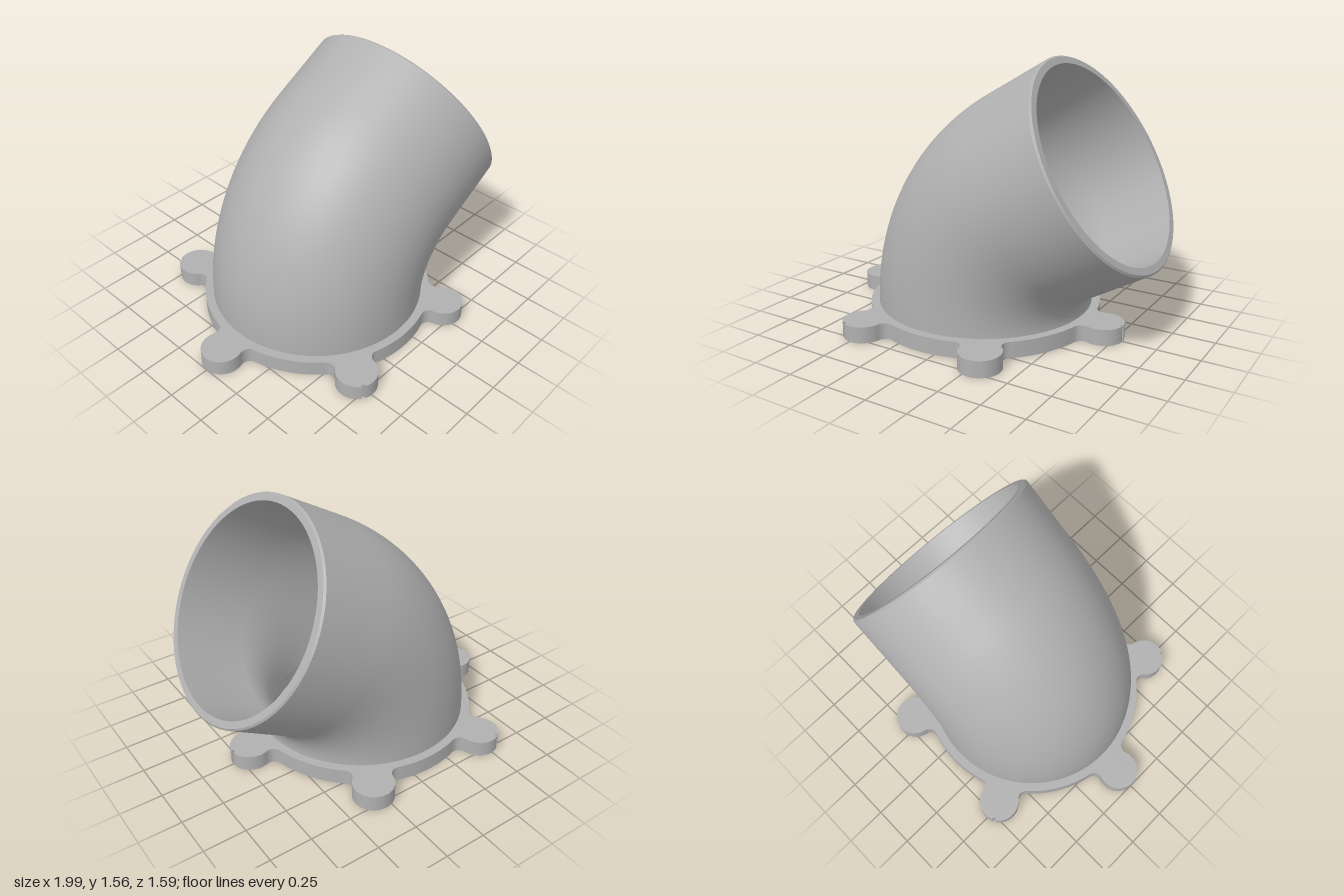
import * as THREE from 'three';
import { toCreasedNormals } from 'three/addons/utils/BufferGeometryUtils.js';

const CX = -0.1;            // flange axis
const FLANGE_R = 0.69, LUG_R = 0.12, LUG_D = 0.78, FILLET = 0.05;
const BORE = 0.53, TOP = 0.095;

// Flange outline: disc with six filleted lugs, every second lug has a narrow slit
function flangeOutline() {
  const pts = [];
  const arc = (x, y, r, a0, a1, n, rot) => {
    for (let i = 0; i <= n; i++) {
      const a = a0 + (a1 - a0) * i / n;
      pts.push(new THREE.Vector2(x + r * Math.cos(a), y + r * Math.sin(a))
        .rotateAround(new THREE.Vector2(), rot));
    }
  };
  const fr = FLANGE_R + FILLET, lr = LUG_R + FILLET;
  const d = (LUG_D ** 2 + fr ** 2 - lr ** 2) / (2 * LUG_D);
  const h = Math.sqrt(fr * fr - d * d);
  const disc = Math.atan2(h, d);              // where the fillet leaves the disc
  const lug = Math.atan2(h, d - LUG_D);       // where the fillet meets the lug
  for (let k = 0; k < 6; k++) {
    const rot = k * Math.PI / 3;
    arc(d, -h, FILLET, Math.PI - disc, Math.PI - lug, 8, rot);
    if (k % 2 === 0) {
      const s = 0.01 / LUG_R;
      arc(LUG_D, 0, LUG_R, -lug, -s, 16, rot);
      arc(LUG_D, 0, LUG_R - 0.012, -s, s, 1, rot);
      arc(LUG_D, 0, LUG_R, s, lug, 16, rot);
    } else {
      arc(LUG_D, 0, LUG_R, -lug, lug, 32, rot);
    }
    arc(d, h, FILLET, lug - Math.PI, disc - Math.PI, 8, rot);
    arc(0, 0, FLANGE_R, disc + 0.02, Math.PI / 3 - disc - 0.02, 14, rot);
  }
  return new THREE.Shape(pts);
}

function circle(r, x = 0, y = 0) {
  return new THREE.Path().absarc(x, y, r, 0, Math.PI * 2, true);
}

// Horizontal slab from y0 to y1
function slab(shape, y0, y1) {
  const g = new THREE.ExtrudeGeometry(shape, { depth: y1 - y0, bevelEnabled: false, curveSegments: 48 });
  g.rotateX(-Math.PI / 2).translate(CX, y0, 0);
  return toCreasedNormals(g, 0.5);
}

function flangeLayer(hole, lugHoles, y0, y1) {
  const shape = flangeOutline();
  shape.holes.push(circle(hole));
  for (let k = 0; lugHoles && k < 6; k++) {
    const a = k * Math.PI / 3;
    shape.holes.push(circle(0.088, LUG_D * Math.cos(a), LUG_D * Math.sin(a)));
  }
  return slab(shape, y0, y1);
}

// Elbow: rings swept along a 60 degree bend followed by a straight run
function elbowGeometry() {
  const R = 0.798, START = 0.1, BEND = Math.PI / 3, RUN = 0.434;
  const total = START + R * BEND + RUN;
  const ringAt = s => {
    const a = THREE.MathUtils.clamp((s - START) / R, 0, BEND);
    const extra = Math.max(0, s - START - R * BEND);
    return {
      a,
      x: CX + R * (1 - Math.cos(a)) + extra * Math.sin(a),
      y: Math.min(s, START) + R * Math.sin(a) + extra * Math.cos(a),
    };
  };
  const stations = [TOP - 0.01];
  for (let i = 0; i <= 28; i++) stations.push(START + R * BEND * i / 28);
  stations.push(START + R * BEND + RUN / 2);

  // Profile of [distance, radius]: up the bore, over the rim, down the outside
  const profile = stations.map(s => [s, BORE + 0.06 * (s - stations[0]) / (total - stations[0])]);
  profile.push([total, 0.59], [total, 0.63], [total - 0.01, 0.64]);
  profile.push(...stations.slice().reverse().map(s => [s, 0.64]));

  const N = 96, pos = [], idx = [];
  profile.forEach(([s, r], i) => {
    const c = ringAt(s);
    for (let j = 0; j < N; j++) {
      const t = j / N * Math.PI * 2, u = r * Math.cos(t);
      pos.push(c.x + u * Math.cos(c.a), c.y - u * Math.sin(c.a), r * Math.sin(t));
      if (i < profile.length - 1) {
        const p = i * N + j, q = i * N + (j + 1) % N;
        idx.push(p, q, p + N, q, q + N, p + N);
      }
    }
  });
  const g = new THREE.BufferGeometry();
  g.setAttribute('position', new THREE.Float32BufferAttribute(pos, 3));
  g.setIndex(idx);
  return toCreasedNormals(g, 0.5);
}

export function createModel() {
  const grey = new THREE.MeshStandardMaterial({ color: 0xb0b0b0 });
  grey.name = 'grey';
  const model = new THREE.Group();
  model.name = 'pipeElbow';
  const add = (name, geometry, parent = model) => {
    const m = new THREE.Mesh(geometry, grey);
    m.name = name;
    parent.add(m);
  };

  add('elbowPipe', elbowGeometry());

  // Flange with blind lug holes and a seal groove, open underneath
  const flange = new THREE.Group();
  flange.name = 'flange';
  model.add(flange);
  add('flangeTop', flangeLayer(BORE, false, 0.065, TOP), flange);
  add('flangeMiddle', flangeLayer(BORE, true, 0.04, 0.065), flange);
  add('flangeBottom', flangeLayer(0.615, true, 0, 0.04), flange);
  const lip = new THREE.Shape().absarc(0, 0, 0.575, 0, Math.PI * 2, false);
  lip.holes.push(circle(BORE));
  add('sealLip', slab(lip, 0, 0.04), flange);

  return model;
}
